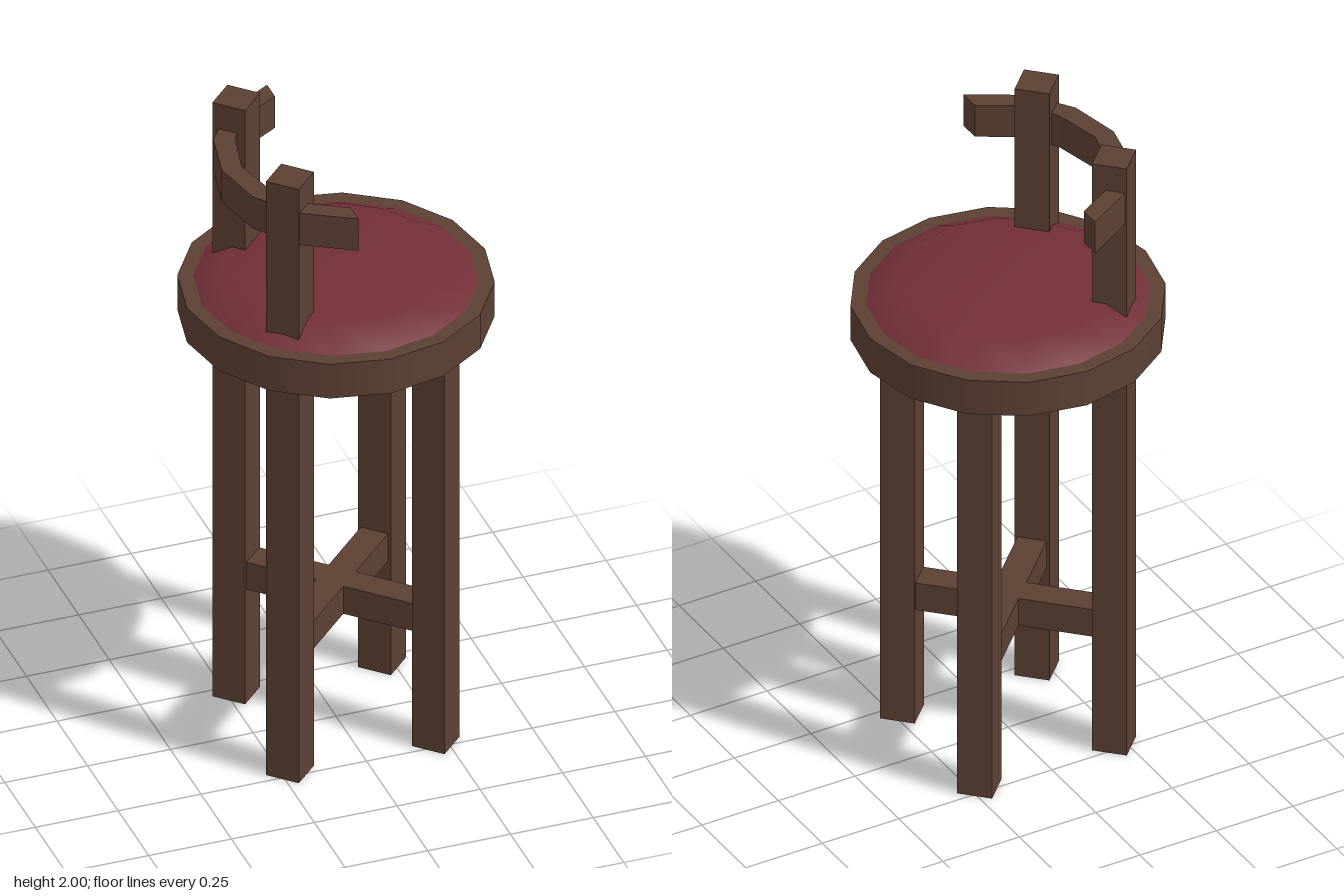
import * as THREE from 'three';

const wood = new THREE.MeshStandardMaterial({ color: 0x5c4033 });
const fabric = new THREE.MeshStandardMaterial({ color: 0x722f37 });

const LEG = 0.22; // leg offset on both axes
const SIDES = 16;

export function createModel() {
  const model = new THREE.Group();
  model.name = 'barStool';

  const add = (name, geometry, material, x = 0, y = 0, z = 0, turn = 0) => {
    const mesh = new THREE.Mesh(geometry, material);
    mesh.name = name;
    mesh.position.set(x, y, z);
    mesh.rotation.y = turn;
    model.add(mesh);
    return mesh;
  };

  // Square legs set on the diagonal; the pair on -x runs up as back posts
  for (const sx of [-1, 1]) {
    for (const sz of [-1, 1]) {
      const height = sx < 0 ? 2 : 1.4;
      add(sx < 0 ? 'backPostLeg' : 'shortLeg', new THREE.BoxGeometry(0.102, height, 0.102),
        wood, sx * LEG, height / 2, sz * LEG, Math.PI / 4);
    }
  }

  // Crossed stretchers between opposite legs
  for (const s of [-1, 1]) {
    add('crossStretcher', new THREE.BoxGeometry(LEG * 2 * Math.SQRT2, 0.092, 0.085),
      wood, 0, 0.428, 0, s * Math.PI / 4);
  }

  // Seat disc
  add('seatFrame', new THREE.CylinderGeometry(0.45, 0.45, 0.115, SIDES), wood, 0, 1.4175, 0);

  // Bevelled cushion, smooth across the bevel
  const cushion = [[0.405, 1.47], [0.405, 1.475], [0.31, 1.53], [0, 1.53]]
    .map(([r, y]) => new THREE.Vector2(r, y));
  add('cushion', new THREE.LatheGeometry(cushion.slice(1), SIDES), fabric);

  // Curved back rail: half outlines mirrored across z = 0
  const outer = [[-0.07, 0.374], [-0.225, 0.283], [-0.312, 0.158], [-0.345, 0]];
  const inner = [[-0.285, 0], [-0.251, 0.145], [-0.187, 0.241], [-0.07, 0.311]];
  const mirror = (points) => points.slice().reverse().map(([x, z]) => [x, -z]);
  const outline = [...outer, ...mirror(outer).slice(1), ...mirror(inner), ...inner.slice(1)];
  const railShape = new THREE.Shape(outline.map(([x, z]) => new THREE.Vector2(x, z)));
  const rail = new THREE.ExtrudeGeometry(railShape, { depth: 0.107, bevelEnabled: false });
  rail.rotateX(-Math.PI / 2);
  add('backRail', rail, wood, 0, 1.81, 0);

  return model;
}
